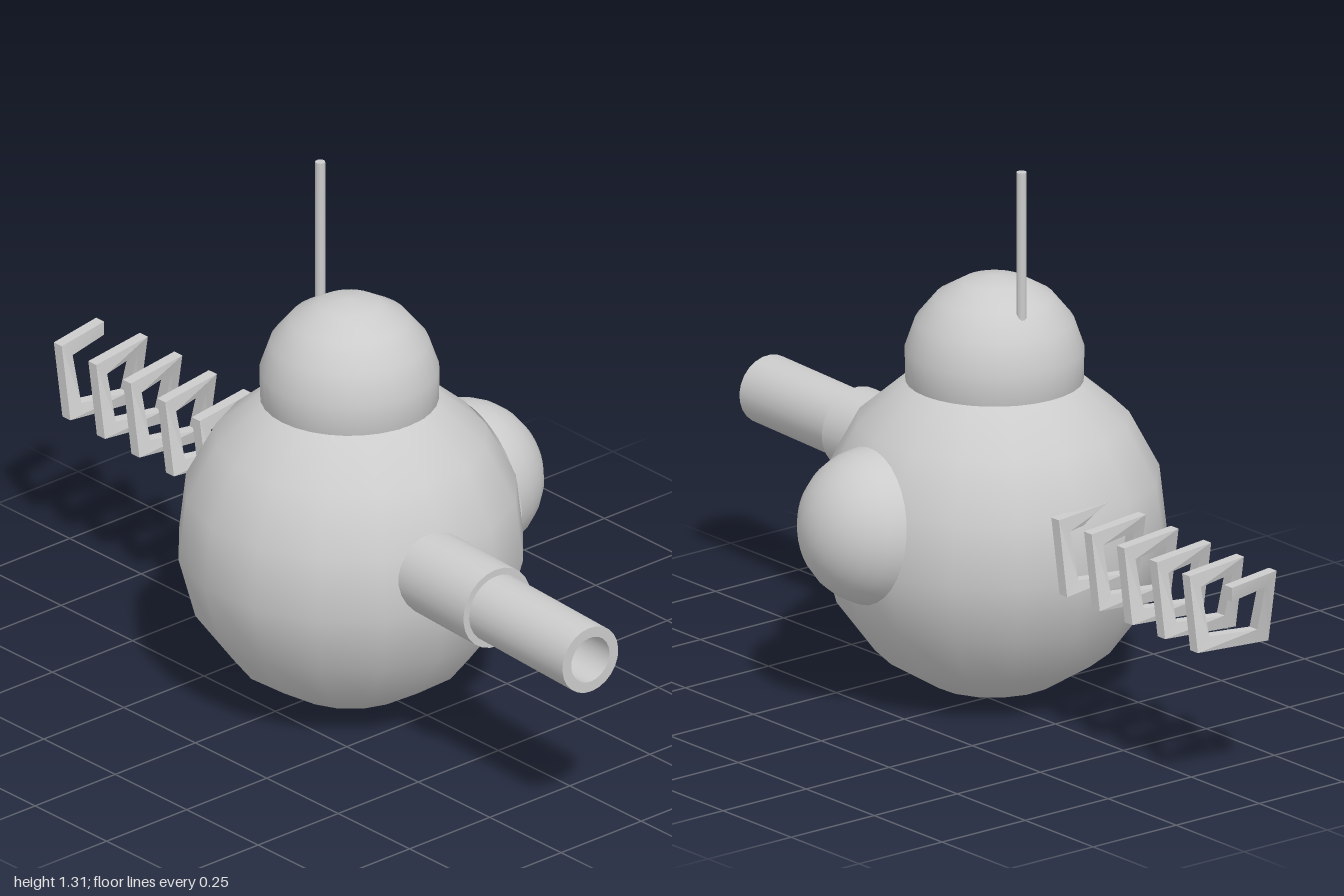
import * as THREE from 'three';
import { toCreasedNormals } from 'three/addons/utils/BufferGeometryUtils.js';

const UP = new THREE.Vector3(0, 1, 0);

// Square-wound coil: one mitred wire cross-section per corner, four corners per turn
function coilGeometry() {
  const corners = [[1, 1], [-1, 1], [-1, -1], [1, -1]];
  const count = 22, step = 0.0318, thick = 0.017, depth = 0.014;
  const positions = [], index = [];
  for (let i = 0; i < count; i++) {
    const [sx, sy] = corners[i % 4];
    const z = -0.985 + i * step;
    const axisX = -0.01 - (z + 0.4) * 0.045;
    for (const [r, d] of [[1, -1], [1, 1], [-1, 1], [-1, -1]]) {
      const x = i === 0 ? 0.065 : sx * (0.077 + r * thick);
      positions.push(axisX + x, 0.46 + sy * (0.073 + r * thick), z + d * depth);
    }
  }
  for (let i = 0; i < count - 1; i++) {
    for (let k = 0; k < 4; k++) {
      const a = i * 4 + k, b = i * 4 + (k + 1) % 4;
      index.push(a, b, b + 4, a, b + 4, a + 4);
    }
  }
  const e = (count - 1) * 4;
  index.push(0, 2, 1, 0, 3, 2, e, e + 1, e + 2, e, e + 2, e + 3);
  const geometry = new THREE.BufferGeometry();
  geometry.setAttribute('position', new THREE.Float32BufferAttribute(positions, 3));
  geometry.setIndex(index);
  return toCreasedNormals(geometry, 0.3);
}

export function createModel() {
  const model = new THREE.Group();
  const material = new THREE.MeshStandardMaterial({ color: 0xcccccc, side: THREE.DoubleSide });

  const add = (name, geometry, position = [0, 0, 0], axis = null) => {
    const mesh = new THREE.Mesh(geometry, material);
    mesh.name = name;
    mesh.position.set(...position);
    if (axis) mesh.quaternion.setFromUnitVectors(UP, new THREE.Vector3(...axis).normalize());
    model.add(mesh);
    return mesh;
  };

  // Round body, open where the head sits
  const neck = Math.PI / 6;
  add('body', new THREE.SphereGeometry(0.41, 16, 7, -0.14, Math.PI * 2, neck, Math.PI - neck),
    [-0.05, 0.413, 0.04]);

  // Domed head
  add('head', new THREE.SphereGeometry(0.213, 32, 5, 0, Math.PI * 2, 0, 1.77), [-0.05, 0.81, 0.035]);

  // Thin antenna, set toward the back of the head
  add('antenna', new THREE.CylinderGeometry(0.012, 0.012, 0.42, 10), [-0.019, 1.107, -0.102]);

  // Bulging side dome, tilted to follow the body
  add('sideDome', new THREE.SphereGeometry(0.189, 32, 6, 0, Math.PI * 2, 0, 1.37),
    [0.272, 0.465, 0.072], [0.98, 0.14, 0.13]);

  // Stepped hollow barrel
  const barrel = [[0, 0], [0.1, 0], [0.1, 0.345], [0.083, 0.345], [0.083, 0.695],
    [0.057, 0.695], [0.057, 0.4], [0, 0.4]].map(p => new THREE.Vector2(...p));
  add('barrel', toCreasedNormals(new THREE.LatheGeometry(barrel, 24), 0.6),
    [-0.113, 0.47, 0.3], [-0.058, 0, 1]);

  // Coiled tail
  add('tailSpring', coilGeometry());

  return model;
}
